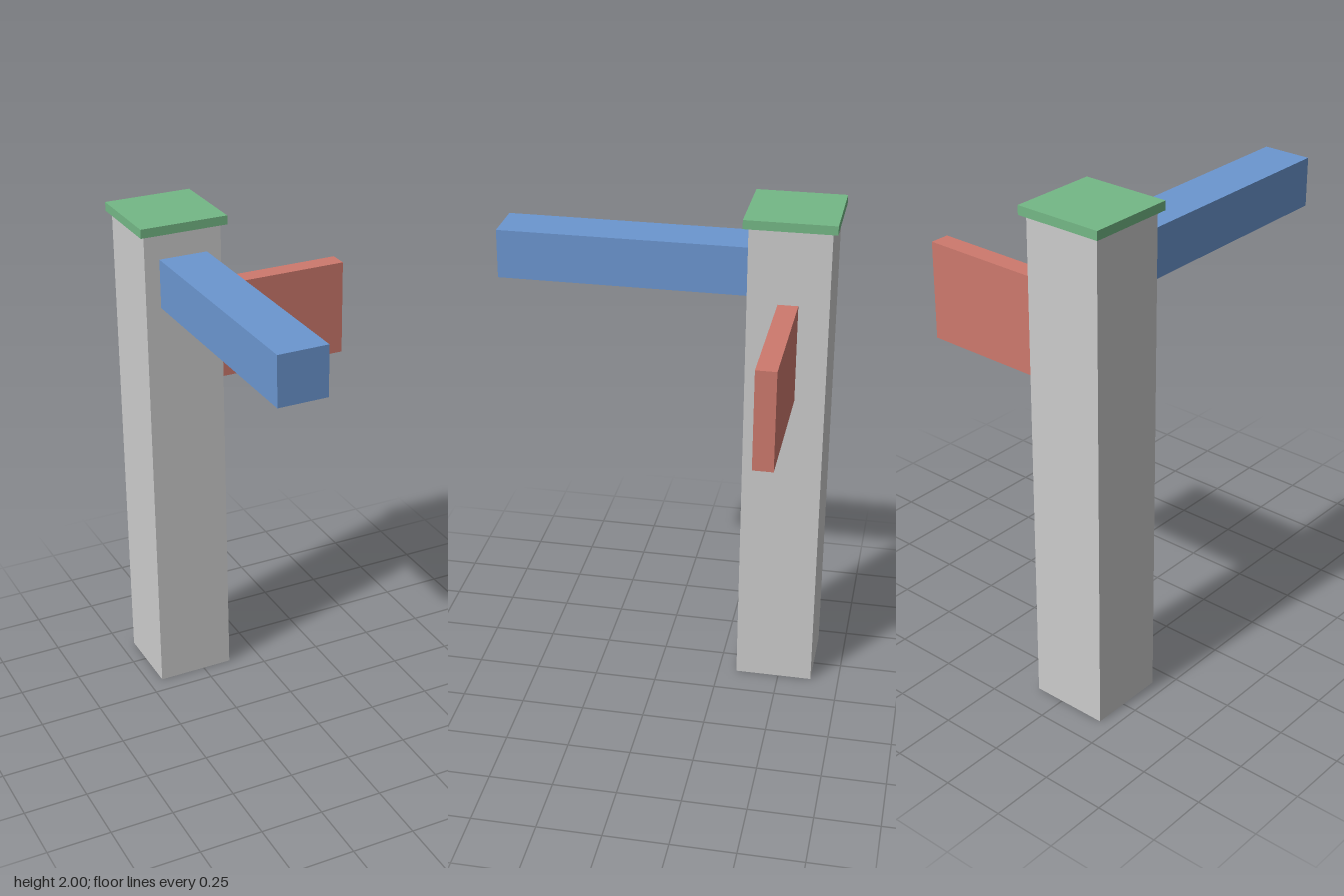
import * as THREE from 'three';

// Box given by its extents along each axis
function block(name, color, [x0, x1], [y0, y1], [z0, z1]) {
  const mesh = new THREE.Mesh(
    new THREE.BoxGeometry(x1 - x0, y1 - y0, z1 - z0),
    new THREE.MeshStandardMaterial({ color })
  );
  mesh.position.set((x0 + x1) / 2, (y0 + y1) / 2, (z0 + z1) / 2);
  mesh.name = name;
  return mesh;
}

export function createModel() {
  const group = new THREE.Group();
  group.name = 'signPost';
  group.add(
    // Square upright and its slightly overhanging cap
    block('post', 0xcccccc, [-0.442, -0.13], [0, 1.965], [-0.636, -0.324]),
    block('cap', 0x74b886, [-0.46, -0.11], [1.965, 2], [-0.655, -0.305]),
    // Long arm reaching forward
    block('frontArm', 0x6b96d0, [-0.382, -0.188], [1.672, 1.865], [-0.324, 0.655]),
    // Thin board on the left side
    block('sideBoard', 0xcd796d, [-0.13, 0.46], [1.28, 1.67], [-0.519, -0.441])
  );
  return group;
}
